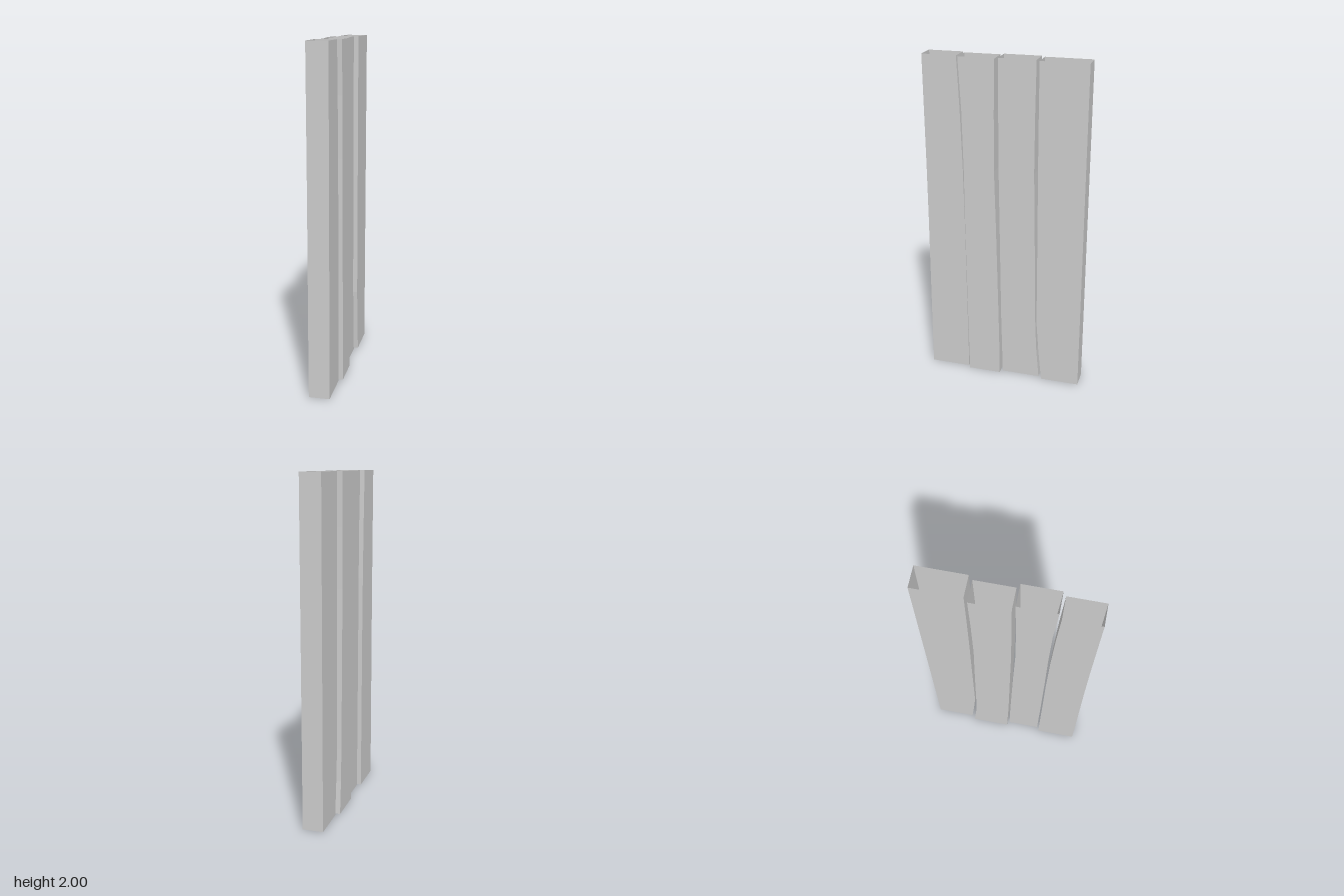
import * as THREE from 'three';

// Heights of the cross-sections shared by all planks
const LEVELS = [0, 0.2, 0.4, 1, 1.35, 1.7, 2];

// Hollow plank: closed foot, open top; front and back list z at each level
function plankGeometry(x0, x1, front, back) {
  const positions = [];
  const ring = (i) => [
    [x0, LEVELS[i], front[i]], [x1, LEVELS[i], front[i]],
    [x1, LEVELS[i], back[i]], [x0, LEVELS[i], back[i]],
  ];
  const quad = (a, b, c, d) => positions.push(...a, ...b, ...c, ...a, ...c, ...d);
  for (let i = 0; i < LEVELS.length - 1; i++) {
    const low = ring(i), high = ring(i + 1);
    for (let k = 0; k < 4; k++) {
      const n = (k + 1) % 4;
      quad(low[k], low[n], high[n], high[k]);
    }
  }
  const foot = ring(0);
  quad(foot[3], foot[2], foot[1], foot[0]);
  const geometry = new THREE.BufferGeometry();
  geometry.setAttribute('position', new THREE.Float32BufferAttribute(positions, 3));
  geometry.computeVertexNormals();
  return geometry;
}

export function createModel() {
  const group = new THREE.Group();
  group.name = 'plankPanel';
  const material = new THREE.MeshStandardMaterial({
    color: 0xcccccc, flatShading: true, side: THREE.DoubleSide,
  });

  // Planks from front to back, alternately offset sideways, with wavy edges
  const planks = [
    { name: 'frontPlank', side: -1,
      front: [0.48, 0.48, 0.479, 0.476, 0.476, 0.478, 0.48],
      back: [0.237, 0.238, 0.24, 0.245, 0.251, 0.262, 0.276] },
    { name: 'frontMiddlePlank', side: 1,
      front: [0.223, 0.226, 0.229, 0.235, 0.237, 0.244, 0.26],
      back: [0.024, 0.026, 0.03, 0.044, 0.054, 0.053, 0.048] },
    { name: 'backMiddlePlank', side: -1,
      front: [0.01, 0.015, 0.02, 0.028, 0.033, 0.034, 0.034],
      back: [-0.225, -0.207, -0.198, -0.186, -0.178, -0.179, -0.183] },
    { name: 'backPlank', side: 1,
      front: [-0.247, -0.227, -0.212, -0.209, -0.206, -0.205, -0.205],
      back: [-0.48, -0.48, -0.48, -0.48, -0.48, -0.48, -0.48] },
  ];
  for (const { name, side, front, back } of planks) {
    const centre = side * 0.0115;
    const mesh = new THREE.Mesh(
      plankGeometry(centre - 0.061, centre + 0.061, front, back), material);
    mesh.name = name;
    group.add(mesh);
  }
  return group;
}
